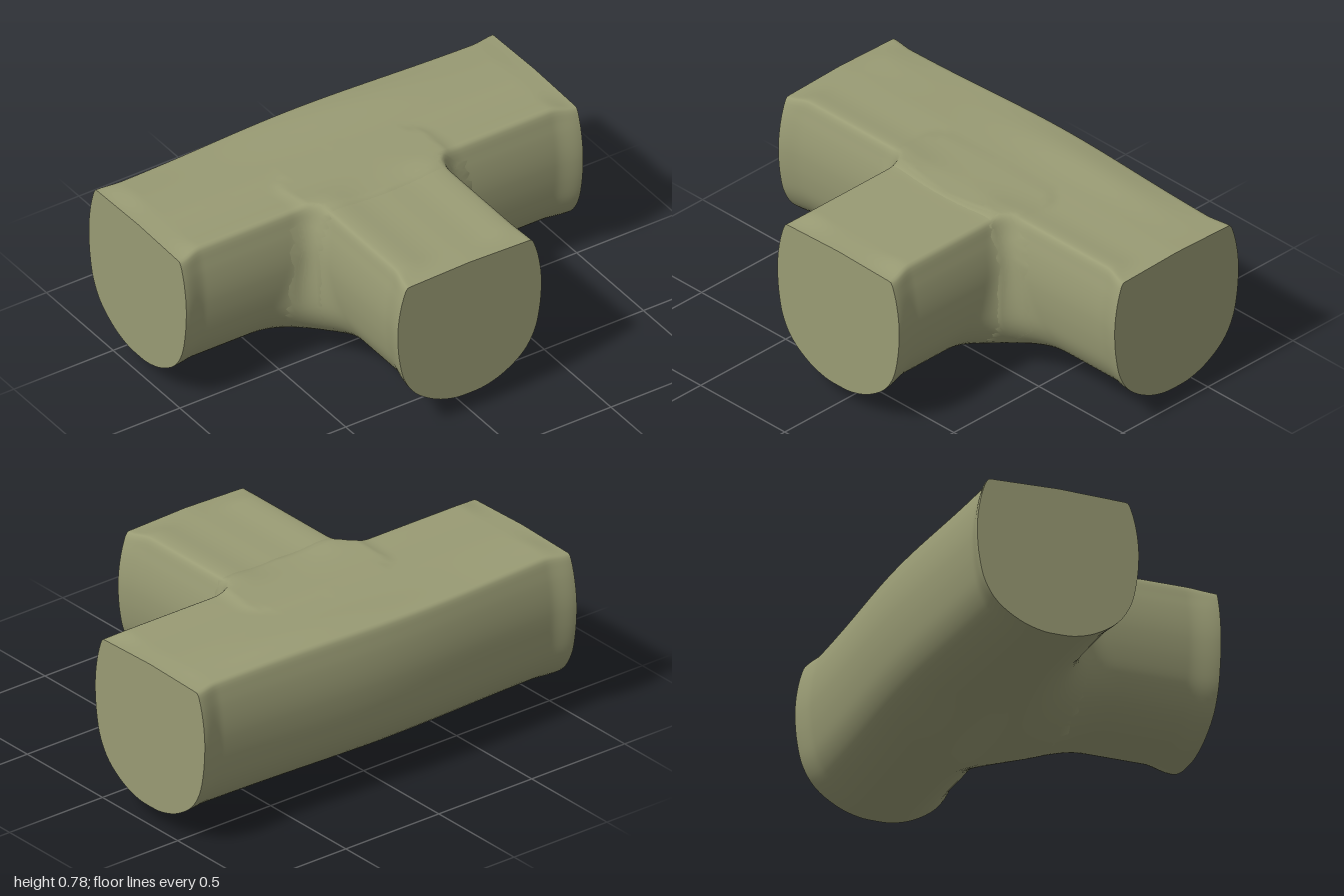
import * as THREE from 'three';

const { clamp, lerp, smoothstep } = THREE.MathUtils;
const bell = (v, s) => Math.exp(-((v / s) ** 2));
const HALF_WIDTH = 0.34;
const AXIS_Y = 0.45;
const AXIS_Z = -0.315;
const ROOF = 0.76;

// Half of the tunnel section: u is the share of the half width, then the height
const HALF = [
  [0, ROOF], [0.4, ROOF], [0.74, ROOF], [0.86, 0.745], [0.925, 0.69], [0.98, 0.6], [1, 0.5],
  [0.97, 0.37], [0.9, 0.27], [0.75, 0.185], [0.47, 0.115], [0.2, 0.084],
];
const outline = new THREE.CatmullRomCurve3([
  ...HALF,
  [0, 0.08],
  ...HALF.slice(1).reverse().map(([u, y]) => [-u, y]),
].map(([u, y]) => new THREE.Vector3(u * HALF_WIDTH, y, 0)), true).getPoints(96).slice(0, 96);

// Section points with their outward direction (nw, ny)
const RING = outline.map(({ x: w, y }, i) => {
  const a = outline.at(i - 1), b = outline[(i + 1) % outline.length];
  const n = new THREE.Vector2(a.y - b.y, b.x - a.x).normalize();
  return { w, y, nw: n.x, ny: n.y };
});

// Signed distance from a point to the tunnel section
function sectionDistance(w, y) {
  let d = -Infinity;
  for (const p of RING) d = Math.max(d, (w - p.w) * p.nw + (y - p.y) * p.ny);
  return d;
}

// Signed distance to both tunnels, blended by a fillet that widens low down
function junction({ x, y, z }) {
  const main = sectionDistance(z - AXIS_Z, y);
  const branch = sectionDistance(x, y) + 1.1 * Math.max(0, -0.2 - z);
  const k = lerp(0.33, 0.12, smoothstep(y, 0.08, 0.55));
  const h = Math.max(0, k - Math.abs(main - branch));
  return Math.max(Math.min(main, branch) - h * h / (4 * k), y - ROOF);
}

// Walk from the axis to the blended wall, stopping at a limit inside the other tunnel
function reachWall(origin, dir, limit) {
  const p = origin.clone();
  let t = 0;
  for (let i = 0; i < 50 && t < limit; i++) {
    const d = junction(p);
    if (d > -0.0002) break;
    t = Math.min(limit, t - d);
    p.copy(origin).addScaledVector(dir, t);
  }
  return p;
}

// Flared ends, swollen back, uneven roof and sagging belly
function shapeWall(p) {
  const { x, y, z } = p;
  const side = smoothstep(Math.abs(x), 0.88, 1);
  const front = smoothstep(z, 0.55, 0.685);
  const roof = smoothstep(y, 0.68, 0.75);
  const low = clamp((0.5 - y) / 0.4, 0, 1);

  const onBranch = smoothstep(z, -0.1, 0.1);
  const branchRidges = 0.016 * onBranch * bell(Math.abs(x) - 0.25, 0.1);
  const frontRidge = 0.013 * bell(z + 0.04, 0.08) * (1 - 0.8 * bell(x, 0.25));
  const backRidge = bell(z + 0.5, 0.1) * (0.009 + 0.009 * Math.sin(x * 4 - 2.7 + Math.PI));
  const ridges = (branchRidges + frontRidge + backRidge) * (1 - side) * (1 - front);
  const floor = 0.02 * low * smoothstep(z, 0, 0.3) * (1 - front);
  const belly = 0.015 * low * bell(x, 0.28) * bell(z + 0.12, 0.18);
  const bulge = 0.036 * bell(x + 0.08, 0.6) * smoothstep(-z, -AXIS_Z, 0.6);

  p.x *= 1 + 0.065 * front;
  p.y += roof * (ridges - 0.004 * (side + front)) + floor - belly;
  p.z = AXIS_Z + (z - AXIS_Z) * (1 + 0.07 * side) - bulge;
  return p;
}

// Main tunnel ring, running along x
function mainRing(x) {
  const origin = new THREE.Vector3(x, AXIS_Y, AXIS_Z);
  return RING.map(({ w, y }) => {
    const dir = new THREE.Vector3(0, y - AXIS_Y, -w).normalize();
    const limit = dir.z > 0 ? (0.1 - AXIS_Z) / dir.z : Infinity;
    return shapeWall(reachWall(origin, dir, limit));
  });
}

// Branch ring, running along z
function branchRing(z) {
  const origin = new THREE.Vector3(0, AXIS_Y, z);
  return RING.map(({ w, y }) => {
    const dir = new THREE.Vector3(w, y - AXIS_Y, 0).normalize();
    return shapeWall(reachWall(origin, dir, 0.48 / Math.max(Math.abs(dir.x), 1e-6)));
  });
}

// Tube skin through a list of rings
function skin(rings) {
  const n = rings[0].length;
  const index = [];
  for (let i = 0; i < rings.length - 1; i++) {
    for (let j = 0; j < n; j++) {
      const a = i * n + j, b = i * n + (j + 1) % n;
      index.push(a, a + n, b, b, a + n, b + n);
    }
  }
  const geo = new THREE.BufferGeometry().setFromPoints(rings.flat());
  geo.setIndex(index);
  geo.computeVertexNormals();
  return geo;
}

// Flat end closing one ring
function cap(ring, far) {
  const n = ring.length;
  const centre = ring.reduce((s, p) => s.add(p), new THREE.Vector3()).divideScalar(n);
  const index = [];
  for (let j = 0; j < n; j++) {
    const k = (j + 1) % n;
    index.push(n, far ? k : j, far ? j : k);
  }
  const geo = new THREE.BufferGeometry().setFromPoints([...ring, centre]);
  geo.setIndex(index);
  geo.computeVertexNormals();
  return geo;
}

const sweep = (from, to, steps, ring) =>
  Array.from({ length: steps + 1 }, (_, i) => ring(from + (to - from) * i / steps));

export function createModel() {
  const olive = new THREE.MeshStandardMaterial({ name: 'olive', color: 0x999b74 });
  const group = new THREE.Group();
  group.name = 'tunnelJunction';
  const add = (name, geo) => {
    const mesh = new THREE.Mesh(geo, olive);
    mesh.name = name;
    group.add(mesh);
  };

  const main = sweep(-1, 1, 160, mainRing);
  add('mainTunnel', skin(main));
  add('rightEnd', cap(main[0], false));
  add('leftEnd', cap(main[160], true));

  const branch = sweep(0, 0.685, 70, branchRing);
  add('branchTunnel', skin(branch));
  add('frontEnd', cap(branch[70], true));

  return group;
}
